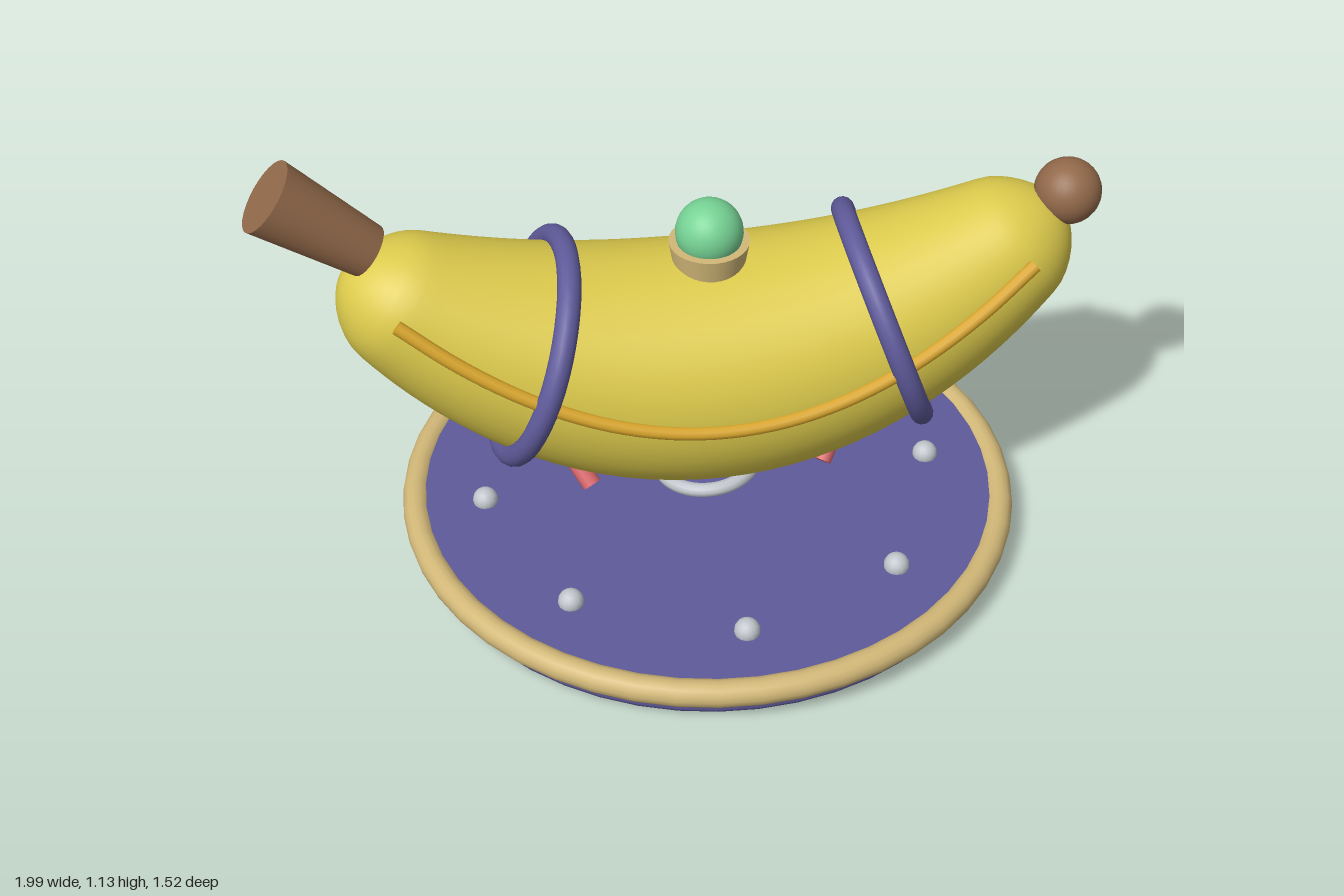
import * as THREE from 'three';
import { mergeVertices } from 'three/addons/utils/BufferGeometryUtils.js';

const CX = 0.06; // the ride is symmetric about this x

function paint(name, color) {
  const m = new THREE.MeshStandardMaterial({ color });
  m.name = name;
  return m;
}

// centre line height and radius of the fruit at distance u from its middle
const spineY = (u) => 0.49 + 0.5 * u * u;
const bodyRadius = (u) => 0.295 * (1 - (u / 1.1) ** 2);
const HALF = 0.84;

function fruitGeometry() {
  let g = new THREE.SphereGeometry(1, 40, 56);
  g.rotateZ(-Math.PI / 2);
  g.deleteAttribute('uv');
  g.deleteAttribute('normal');
  g = mergeVertices(g, 1e-5);
  const p = g.attributes.position;
  for (let i = 0; i < p.count; i++) {
    const u = HALF * p.getX(i);
    const y = p.getY(i), z = p.getZ(i);
    const len = Math.hypot(y, z) || 1;
    const over = Math.max(0, (Math.abs(u) - 0.74) / 0.1);
    const r = bodyRadius(u) * Math.sqrt(Math.max(0, 1 - over * over));
    const slope = Math.atan(u); // spine direction
    const up = (y / len) * r;
    p.setXYZ(i, CX + u - Math.sin(slope) * up, spineY(u) + Math.cos(slope) * up, (z / len) * r);
  }
  g.computeVertexNormals();
  return g;
}

// closed-ended round rod along a curve
function rod(curve, radius, segments, material, name) {
  const group = new THREE.Group();
  group.name = name;
  group.add(new THREE.Mesh(new THREE.TubeGeometry(curve, segments, radius, 10), material));
  for (const t of [0, 1]) {
    const cap = new THREE.Mesh(new THREE.CircleGeometry(radius, 10), material);
    const dir = curve.getTangent(t).multiplyScalar(t ? 1 : -1);
    cap.position.copy(curve.getPoint(t));
    cap.quaternion.setFromUnitVectors(new THREE.Vector3(0, 0, 1), dir);
    group.add(cap);
  }
  return group;
}

export function createModel() {
  const model = new THREE.Group();
  model.name = 'springRider';
  const yellow = paint('fruit yellow', 0xdcca4c);
  const orange = paint('stripe amber', 0xd9a62c);
  const brown = paint('stem brown', 0x92694a);
  const purple = paint('purple', 0x5f5a9a);
  const tan = paint('tan trim', 0xd2b878);
  const silver = paint('silver', 0xc2c6cc);
  const pink = paint('strut pink', 0xd9686c);
  const green = paint('button green', 0x76d294);

  const add = (name, geometry, material, x, y, z = 0) => {
    const m = new THREE.Mesh(geometry, material);
    m.name = name;
    m.position.set(x, y, z);
    model.add(m);
    return m;
  };

  // Base plate with rounded lower edge, rim and bolts
  const profile = [[0, 0], [0.69, 0], [0.7, 0.001], [0.713, 0.007], [0.72, 0.02],
    [0.72, 0.09], [0.71, 0.1], [0.7, 0.1], [0, 0.1]].map(([x, y]) => new THREE.Vector2(x, y));
  add('basePlate', new THREE.LatheGeometry(profile, 48), purple, CX, 0.003);
  add('baseRim', new THREE.TorusGeometry(0.725, 0.033, 14, 48), tan, CX, 0.082).rotation.x = Math.PI / 2;
  for (let i = 0; i < 8; i++) {
    const a = (i * Math.PI) / 4;
    add('bolt', new THREE.SphereGeometry(0.031, 14, 10), silver,
      CX + 0.555 * Math.cos(a), 0.11, 0.555 * Math.sin(a));
  }

  // Coil spring
  const coil = [];
  for (let i = 0; i <= 48; i++) {
    const a = (i / 48) * Math.PI * 6;
    coil.push(new THREE.Vector3(CX + 0.118 * Math.cos(a), 0.115 + (0.07 * a) / (2 * Math.PI), -0.118 * Math.sin(a)));
  }
  model.add(rod(new THREE.CatmullRomCurve3(coil), 0.018, 160, silver, 'spring'));

  // Fruit body with stem and tip
  add('fruitBody', fruitGeometry(), yellow, 0, 0);
  const stem = add('stem', new THREE.CylinderGeometry(0.091, 0.064, 0.276, 28), brown, -0.834, 0.978);
  stem.quaternion.setFromUnitVectors(new THREE.Vector3(0, 1, 0), new THREE.Vector3(-0.215, 0.173, 0).normalize());
  add('tipBall', new THREE.SphereGeometry(0.08, 28, 20), brown, 0.915, 0.878);

  // Stripe along each flank
  for (const side of [1, -1]) {
    const pts = [];
    for (let i = 0; i <= 12; i++) {
      const u = -0.74 + (1.48 * i) / 12;
      pts.push(new THREE.Vector3(CX + u, 0.497 + 0.535 * u * u, side * (bodyRadius(u) + 0.001)));
    }
    model.add(rod(new THREE.CatmullRomCurve3(pts), 0.017, 48, orange, 'sideStripe'));
  }

  // Hoops and bent struts at both ends
  for (const s of [1, -1]) {
    const hoop = add('hoop', new THREE.TorusGeometry(0.264, 0.028, 14, 48), purple, CX + s * 0.423, 0.576);
    hoop.rotation.set(0, Math.PI / 2, s * 0.345, 'ZYX');

    const p = [[0.29, 0.12, 0], [0.4, 0.28, -0.13], [0.48, 0.45, -0.195]]
      .map(([x, y, z]) => new THREE.Vector3(CX + s * x, y, z));
    model.add(rod(new THREE.LineCurve3(p[0], p[1]), 0.024, 1, pink, 'lowerStrut'));
    model.add(rod(new THREE.LineCurve3(p[1], p[2]), 0.024, 1, pink, 'upperStrut'));
    add('strutJoint', new THREE.SphereGeometry(0.024, 12, 8), pink, p[1].x, p[1].y, p[1].z);
  }

  // Button on top
  add('buttonCollar', new THREE.CylinderGeometry(0.095, 0.085, 0.06, 32), tan, CX, 0.802);
  add('button', new THREE.SphereGeometry(0.08, 28, 20), green, CX, 0.857);

  return model;
}
